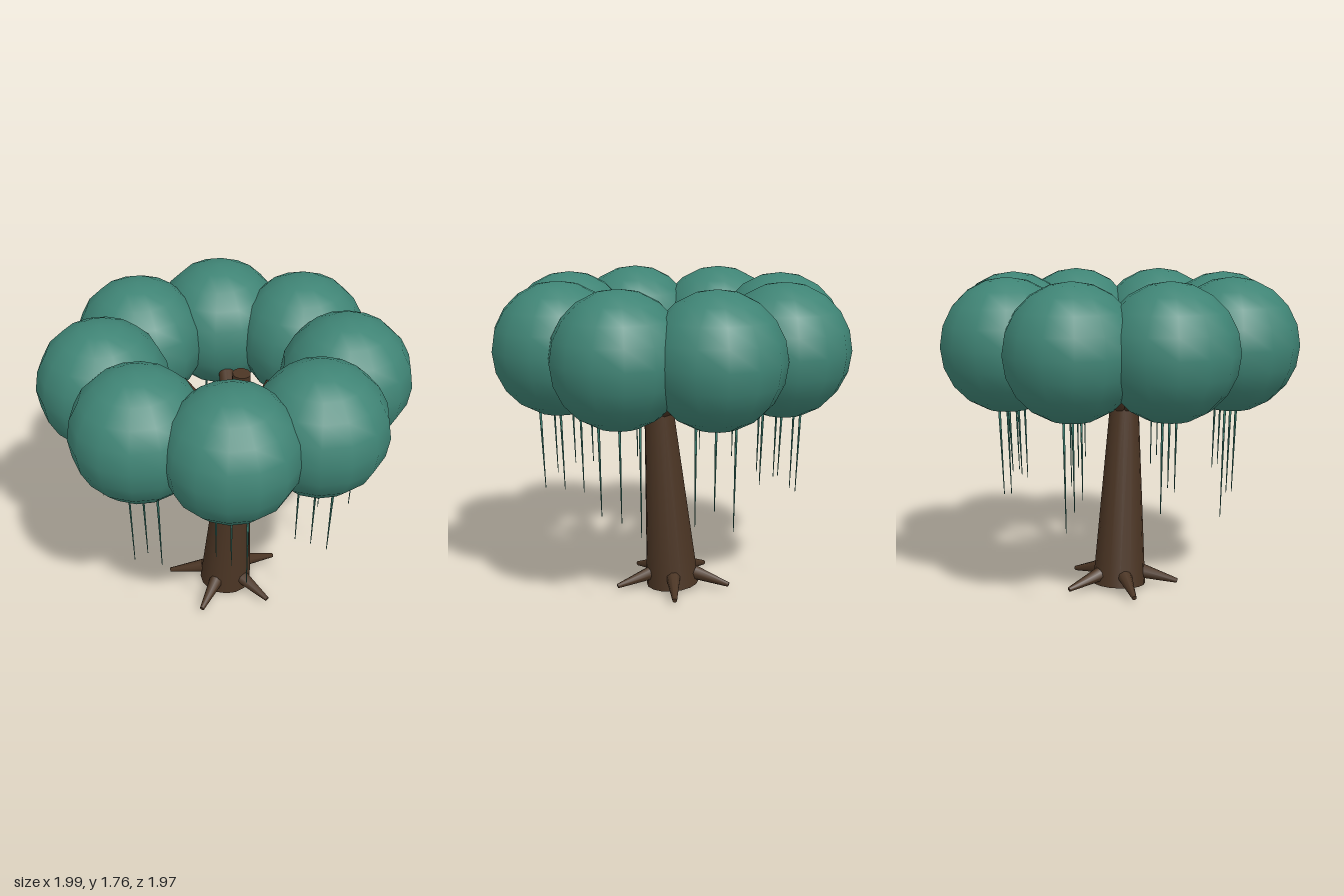
import * as THREE from 'three';

const UP = new THREE.Vector3(0, 1, 0);

// Tapered round limb between two points
function limb(name, from, to, r0, r1, sides, material) {
  const a = new THREE.Vector3(...from);
  const dir = new THREE.Vector3(...to).sub(a);
  const mesh = new THREE.Mesh(new THREE.CylinderGeometry(r1, r0, dir.length(), sides), material);
  mesh.name = name;
  mesh.position.copy(a).addScaledVector(dir, 0.5);
  mesh.quaternion.setFromUnitVectors(UP, dir.normalize());
  return mesh;
}

export function createModel() {
  const bark = new THREE.MeshStandardMaterial({ color: 0x4b3524 });
  bark.name = 'bark';
  const leaf = new THREE.MeshStandardMaterial({ color: 0x3f8475 });
  leaf.name = 'leaf';

  const tree = new THREE.Group();
  tree.name = 'tree';

  // Leaning trunk and the thinner stem above it
  tree.add(limb('trunk', [0, 0.015, 0], [0.08, 1.03, 0], 0.148, 0.08, 16, bark));
  tree.add(limb('upperStem', [0.078, 1.0, 0], [0.115, 1.5, 0], 0.055, 0.048, 12, bark));

  // Five roots around the base
  for (let i = 0; i < 5; i++) {
    const a = (i * Math.PI * 2) / 5;
    const c = Math.cos(a), s = Math.sin(a);
    tree.add(limb('root', [c * 0.13, 0.085, s * 0.13], [c * 0.33, 0.03, s * 0.33], 0.04, 0.013, 8, bark));
  }

  // Heights of the three vine tips under each crown, starting at +x and turning to +z
  const tips = [
    [0.6, 0.63, 0.65], [0.65, 0.65, 0.6], [0.49, 0.6, 0.58], [0.6, 0.71, 0.66],
    [0.5, 0.58, 0.62], [0.62, 0.72, 0.68], [0.5, 0.62, 0.55], [0.46, 0.55, 0.6],
  ];
  const crownGeometry = new THREE.SphereGeometry(0.355, 14, 10);

  // Ring of crowns, each with a branch and hanging vines
  tips.forEach((row, i) => {
    const a = (i * Math.PI) / 4;
    const x = Math.cos(a) * 0.64, z = Math.sin(a) * 0.64;

    const crown = new THREE.Mesh(crownGeometry, leaf);
    crown.name = 'crown';
    crown.position.set(x, 1.405, z);
    tree.add(crown);

    tree.add(limb('branch', [0.08, 1.015, 0], [x, 1.405, z], 0.05, 0.038, 10, bark));

    row.forEach((y, j) => {
      const vx = x + (j - 1) * 0.11;
      tree.add(limb('vine', [vx, 1.14, z], [vx * 0.97, y, z * 0.97], 0.008, 0.002, 6, leaf));
    });
  });

  return tree;
}
